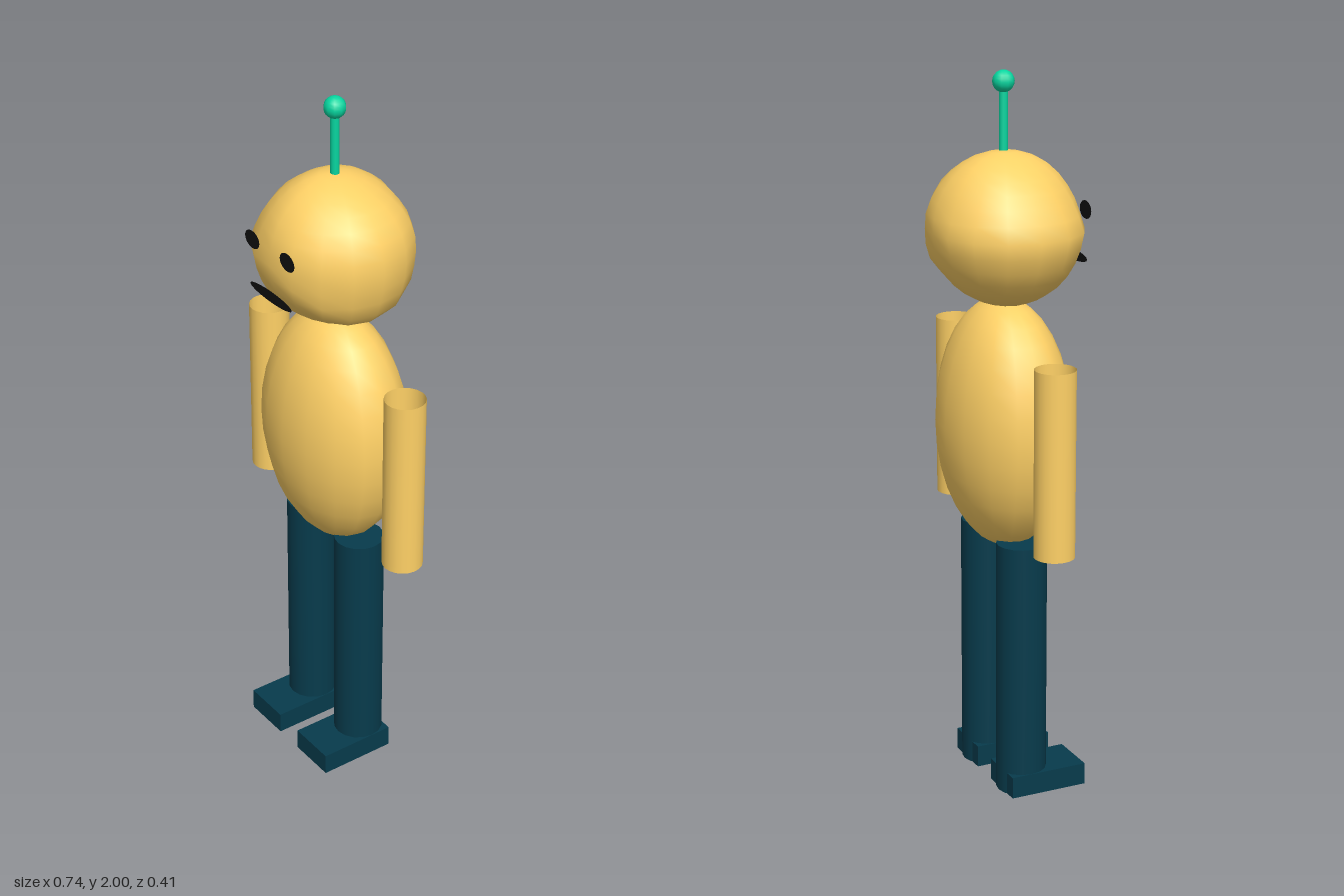
import * as THREE from 'three';
import { mergeVertices } from 'three/addons/utils/BufferGeometryUtils.js';

const mat = (color, side = THREE.FrontSide) => new THREE.MeshStandardMaterial({ color, side });

// Lumpy head: a ball whose radius follows an uneven outline around the z axis
function headGeometry() {
  const outline = [.217, .22, .215, .206, .207, .211, .205, .207, .215,
    .235, .226, .22, .216, .208, .202, .206, .228, .217];
  const n = outline.length;
  let geo = new THREE.SphereGeometry(1, 16, 16);
  geo.deleteAttribute('uv');
  geo.deleteAttribute('normal');
  geo = mergeVertices(geo);
  const pos = geo.attributes.position;
  for (let i = 0; i < pos.count; i++) {
    const p = new THREE.Vector3().fromBufferAttribute(pos, i);
    const t = ((Math.atan2(p.y, p.x) / (2 * Math.PI) + 1) % 1) * n;
    const k = Math.floor(t) % n;
    const r = THREE.MathUtils.lerp(outline[k], outline[(k + 1) % n], t - Math.floor(t));
    const weight = Math.hypot(p.x, p.y);
    p.multiplyScalar(THREE.MathUtils.lerp(0.205, r, weight));
    pos.setXYZ(i, p.x, p.y, p.z);
  }
  geo.computeVertexNormals();
  return geo;
}

export function createModel() {
  const model = new THREE.Group();
  const skin = mat(0xffd166);
  const armSkin = mat(0xffd166, THREE.DoubleSide);
  const navy = mat(0x073b4c);
  const green = mat(0x06d6a0);
  const black = mat(0x111111, THREE.DoubleSide);

  const add = (name, geo, material, x, y, z = 0) => {
    const mesh = new THREE.Mesh(geo, material);
    mesh.name = name;
    mesh.position.set(x, y, z);
    model.add(mesh);
    return mesh;
  };

  // Egg-shaped body and lumpy head
  add('body', new THREE.SphereGeometry(1, 16, 16), skin, 0, 1.04).scale.set(0.248, 0.35, 0.175);
  add('head', headGeometry(), skin, 0, 1.58);

  // Antenna
  add('antennaRod', new THREE.CylinderGeometry(0.012, 0.012, 0.2, 12), green, 0, 1.86);
  add('antennaBall', new THREE.SphereGeometry(0.03, 10, 10), green, 0, 1.97);

  // Flat mouth standing just off the face
  add('mouth', new THREE.CircleGeometry(1, 24), black, 0, 1.491, 0.203).scale.set(0.095, 0.016, 1);

  // Mirrored parts: eyes, open tube arms, legs and feet
  for (const [label, s] of [['left', 1], ['right', -1]]) {
    add(label + 'Eye', new THREE.CircleGeometry(1, 20), black, s * 0.079, 1.625, 0.205)
      .scale.set(0.033, 0.025, 1);
    add(label + 'Arm', new THREE.CylinderGeometry(0.056, 0.056, 0.515, 20, 1, true), armSkin, s * 0.313, 1.008);
    add(label + 'Leg', new THREE.CylinderGeometry(0.07, 0.07, 0.727, 16), navy, s * 0.115, 0.3635);
    add(label + 'Foot', new THREE.BoxGeometry(0.142, 0.062, 0.225), navy, s * 0.115, 0.031, 0.0525);
  }
  return model;
}
